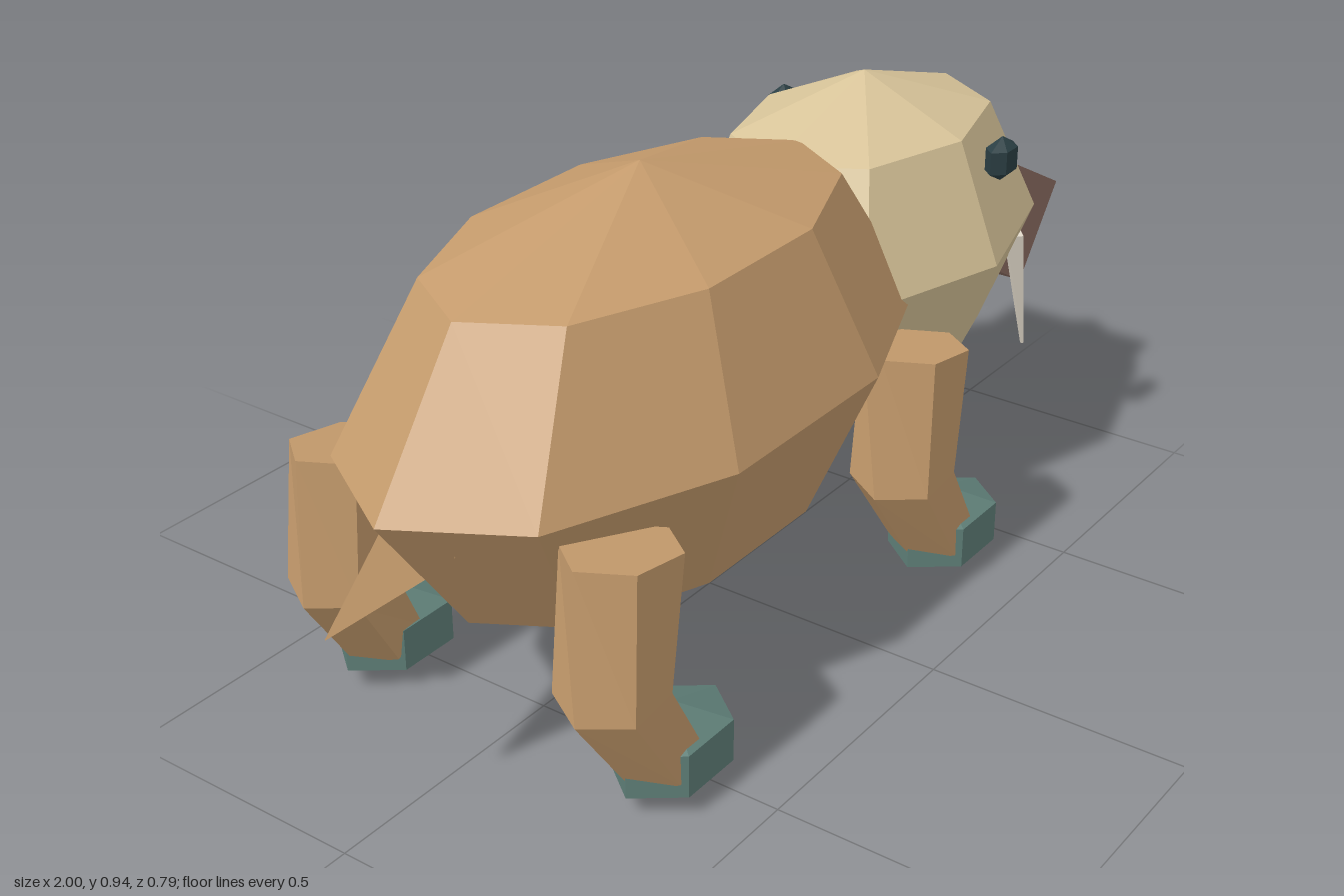
import * as THREE from 'three';

const mat = (name, color) => {
  const m = new THREE.MeshStandardMaterial({ color });
  m.name = name;
  return m;
};

// Faceted normals on any geometry
function facet(geo) {
  const g = geo.index ? geo.toNonIndexed() : geo;
  g.computeVertexNormals();
  return g;
}

// Low-poly ellipsoid
function ellipsoid(rx, ry, rz, across, down) {
  const g = new THREE.SphereGeometry(1, across, down);
  g.scale(rx, ry, rz);
  return facet(g);
}

// Closed loft through rings { c: centre, u: in-plane x/y radius vector, w: z radius }
function loft(rings, sides) {
  const pos = [], idx = [];
  for (const { c, u, w } of rings) {
    for (let i = 0; i < sides; i++) {
      const a = (i / sides) * Math.PI * 2;
      pos.push(c[0] + Math.cos(a) * u[0], c[1] + Math.cos(a) * u[1], c[2] + Math.sin(a) * w);
    }
  }
  for (let r = 0; r < rings.length - 1; r++) {
    for (let i = 0; i < sides; i++) {
      const j = (i + 1) % sides;
      const a = r * sides + i, b = r * sides + j;
      idx.push(a, b, a + sides, b, b + sides, a + sides);
    }
  }
  const last = (rings.length - 1) * sides;
  for (let i = 1; i < sides - 1; i++) {
    idx.push(0, i + 1, i, last, last + i, last + i + 1);
  }
  const g = new THREE.BufferGeometry();
  g.setAttribute('position', new THREE.Float32BufferAttribute(pos, 3));
  g.setIndex(idx);
  return facet(g);
}

export function createModel() {
  const group = new THREE.Group();
  group.name = 'tuskedAnimal';

  const fur = mat('tan fur', 0xc69c6d);
  const cream = mat('cream head', 0xd9c59a);
  const brown = mat('brown snout', 0x8d6e63);
  const slate = mat('slate hoof', 0x5f7f78);
  const dark = mat('dark eye', 0x2b3f44);
  const ivory = mat('ivory tusk', 0xe2dacb);

  const add = (name, geo, material, x = 0, y = 0, z = 0) => {
    const m = new THREE.Mesh(geo, material);
    m.name = name;
    m.position.set(x, y, z);
    group.add(m);
    return m;
  };

  // Trunk of the animal and its head, facing +x
  add('body', ellipsoid(0.68, 0.39, 0.373, 10, 4), fur, -0.2, 0.55, 0);
  add('head', ellipsoid(0.445, 0.33, 0.31, 8, 4), cream, 0.505, 0.57, 0);

  // Snout: a tilted block spanning the face
  const outline = new THREE.Shape(
    [[1, 0.55], [0.81, 0.65], [0.685, 0.475], [0.865, 0.372]].map(p => new THREE.Vector2(...p)));
  const snout = new THREE.ExtrudeGeometry(outline, { depth: 0.35, bevelEnabled: false });
  add('snout', facet(snout), brown, 0, 0, -0.175);

  // Tail: a pointed cone drooping backwards
  add('tail', loft([
    { c: [-0.785, 0.48, 0], u: [0.035, -0.075], w: 0.078 },
    { c: [-1, 0.412, 0], u: [0.0004, -0.001], w: 0.001 },
  ].reverse().map(r => ({ ...r, u: [-r.u[0], -r.u[1]] })).reverse(), 4), fur)
    .material = fur;

  for (const s of [1, -1]) {
    const side = s > 0 ? 'near' : 'far';

    add(side + 'Eye', ellipsoid(0.0485, 0.045, 0.031, 6, 3), dark, 0.605, 0.745, s * 0.252);

    add(side + 'Tusk', loft([
      { c: [0.772, 0.517, s * 0.201], u: [0.028, 0], w: 0.024 },
      { c: [0.819, 0.256, s * 0.213], u: [0.004, 0], w: 0.004 },
    ], 4), ivory);

    // Front and rear legs share one bent shape
    for (const [end, x] of [['Rear', -0.54], ['Front', 0.34]]) {
      add(side + end + 'Leg', loft([
        { c: [-0.098, 0.5, s * 0.293], u: [0.122, -0.02], w: 0.089 },
        { c: [-0.135, 0.252, s * 0.296], u: [0.095, 0.015], w: 0.098 },
        { c: [-0.04, 0.09, s * 0.31], u: [0.066, 0.038], w: 0.086 },
      ], 6), fur, x, 0, 0);
      add(side + end + 'Hoof', ellipsoid(0.145, 0.082, 0.11, 6, 3), slate, x, 0.086, s * 0.312);
    }
  }

  return group;
}
